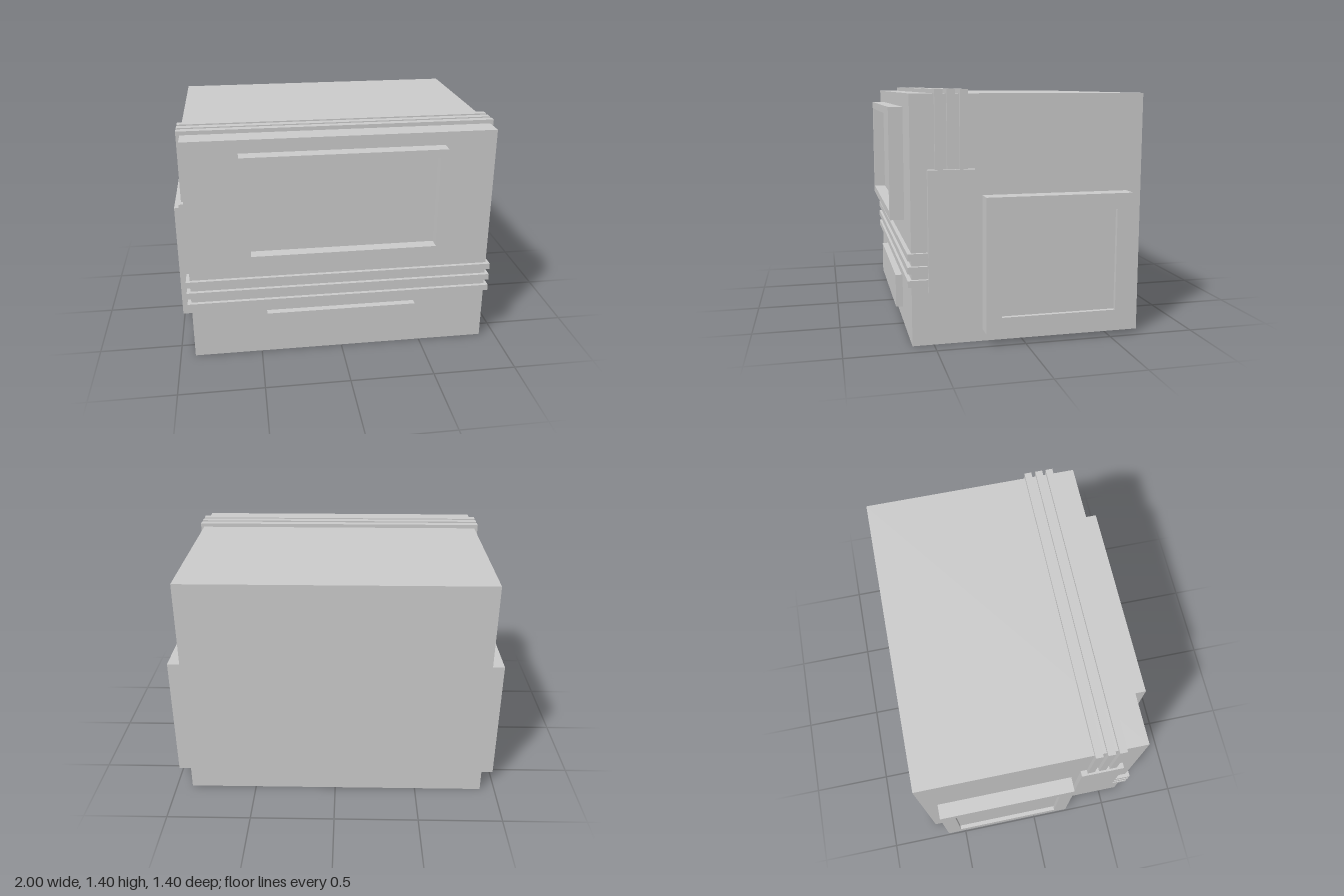
import * as THREE from 'three';

const material = new THREE.MeshStandardMaterial({ color: 0xcccccc, flatShading: true, side: THREE.DoubleSide });

// Body limits
const X0 = -0.91, X1 = 0.903, TOP = 1.378, FRONT = 0.62, BACK = -0.702;

function mesh(name, geometry) {
  const m = new THREE.Mesh(geometry, material);
  m.name = name;
  return m;
}

// Corners of a rectangle, counter-clockwise
const corners = ([u0, u1, v0, v1]) => [[u0, v0], [u1, v0], [u1, v1], [u0, v1]];
const toPath = (rect, Type) => new Type(corners(rect).map(([u, v]) => new THREE.Vector2(u, v)));

// Flat wall with rectangular openings
function wall(name, rect, holes = []) {
  const shape = toPath(rect, THREE.Shape);
  holes.forEach((h) => shape.holes.push(toPath(h, THREE.Path)));
  return mesh(name, new THREE.ShapeGeometry(shape));
}

// Open-backed raised panel: successive rectangles at given depths, the last one capped
function panel(name, steps) {
  const loops = steps.map(([rect, d]) => corners(rect).map(([u, v]) => [u, v, d]));
  const pos = [];
  const quad = (a, b, c, d) => pos.push(...a, ...b, ...c, ...a, ...c, ...d);
  for (let i = 0; i < loops.length - 1; i++) {
    for (let k = 0; k < 4; k++) {
      const n = (k + 1) % 4;
      quad(loops[i][k], loops[i][n], loops[i + 1][n], loops[i + 1][k]);
    }
  }
  quad(...loops[loops.length - 1]);
  const g = new THREE.BufferGeometry();
  g.setAttribute('position', new THREE.Float32BufferAttribute(pos, 3));
  g.computeVertexNormals();
  return mesh(name, g);
}

// U-shaped strip that hugs the body on three sides
function strip(name, start, inner, outer, thickness) {
  const [o0, o1] = [-0.932, 0.923];
  const pts = [[o0, start], [X0, start], [X0, inner], [X1, inner], [X1, start], [o1, start], [o1, outer], [o0, outer]];
  const shape = new THREE.Shape(pts.map(([x, y]) => new THREE.Vector2(x, y)));
  return mesh(name, new THREE.ExtrudeGeometry(shape, { depth: thickness, bevelEnabled: false }));
}

function createModel() {
  const model = new THREE.Group();

  // Front wall with framed window and lower plate
  const front = new THREE.Group();
  front.name = 'front';
  front.position.z = FRONT;
  const frame = [-0.59, 0.597, 0.652, 1.3];
  const pane = [-0.543, 0.553, 0.697, 1.255];
  const plate = [-0.46, 0.453, 0.09, 0.288];
  front.add(
    wall('frontWall', [X0, X1, 0, TOP], [frame, plate]),
    panel('frontWindow', [[frame, 0], [frame, 0.082], [pane, 0.082], [pane, 0.01]]),
    panel('lowerPlate', [[plate, 0], [plate, 0.042]]),
  );
  model.add(front);

  // Side walls, each with a recessed panel and a narrow plate
  for (const side of [1, -1]) {
    const group = new THREE.Group();
    const x = side > 0 ? X1 : X0;
    group.name = side > 0 ? 'leftSide' : 'rightSide';
    group.position.x = x;
    group.rotation.y = side * Math.PI / 2;
    const rect = (z0, z1, y0, y1) => (side > 0 ? [-z1, -z0, y0, y1] : [z0, z1, y0, y1]);
    const outer = rect(-0.615, 0.225, 0.068, 0.828);
    const inner = rect(-0.525, 0.138, 0.158, 0.738);
    const narrow = rect(0.27, 0.53, 0.3, 0.975);
    const depth = 1 - Math.abs(x);
    group.add(
      wall('sideWall', rect(BACK, FRONT, 0, TOP), [outer, narrow]),
      panel('sidePanel', [[outer, 0], [outer, depth], [inner, depth], [inner, depth - 0.025]]),
      panel('narrowPlate', [[narrow, 0], [narrow, 0.034]]),
    );
    model.add(group);
  }

  // Back wall and roof; the underside stays open
  const back = wall('backWall', [-X1, -X0, 0, TOP]);
  back.rotation.y = Math.PI;
  back.position.z = BACK;
  const roof = wall('roof', [X0, X1, -FRONT, -BACK]);
  roof.rotation.x = -Math.PI / 2;
  roof.position.y = TOP;
  model.add(back, roof);

  // Three strips around the front and three over the roof
  for (const y of [0.375, 0.45, 0.523]) {
    const s = strip('frontStrip', 0.53, FRONT, 0.643, 0.038);
    s.rotation.x = Math.PI / 2;
    s.position.y = y;
    model.add(s);
  }
  for (const z of [0.308, 0.378, 0.444]) {
    const s = strip('roofStrip', 0.975, TOP, 1.401, 0.044);
    s.position.z = z;
    model.add(s);
  }
  return model;
}

export { createModel };
